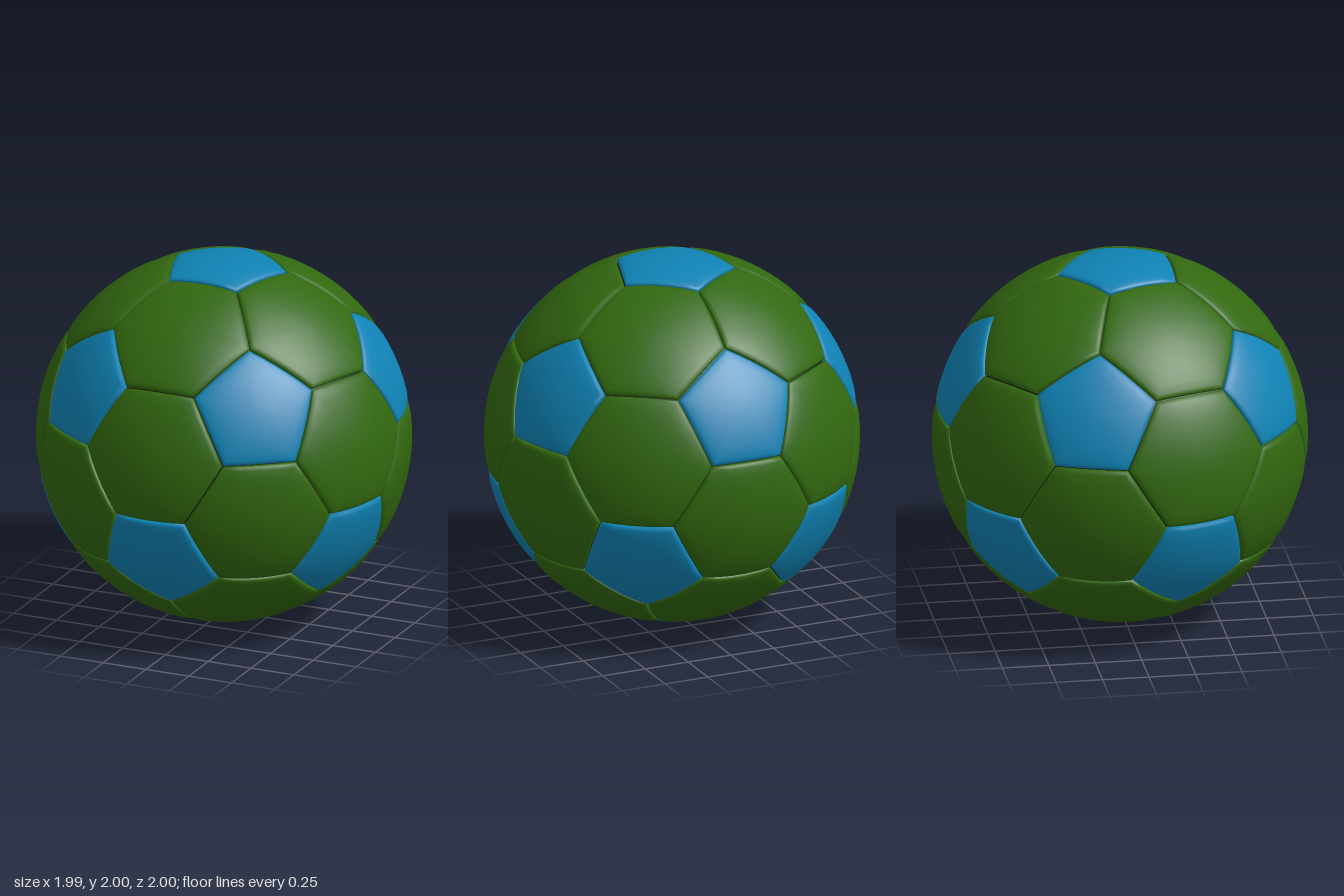
import * as THREE from 'three';

const green = new THREE.MeshStandardMaterial({ color: 0x32680f });
green.name = 'green panel';
const blue = new THREE.MeshStandardMaterial({ color: 0x0f82b4 });
blue.name = 'blue panel';
const dark = new THREE.MeshStandardMaterial({ color: 0x0e1c06 });
dark.name = 'dark seam';

// Panel cross-section: [fraction from centre to seam, distance from ball centre]
const SECTION = [[0.2, 1], [0.4, 1], [0.6, 1], [0.78, 0.999], [0.91, 0.996], [0.965, 0.991], [0.988, 0.983], [0.99, 0.955]];
const EDGE_STEPS = 5;

// The twelve icosahedron directions: two poles and two staggered rings
function icosahedronPoints() {
  const points = [new THREE.Vector3(0, 1, 0)];
  for (let i = 0; i < 5; i++) {
    const a = (i * 2 * Math.PI) / 5;
    const r = 2 / Math.sqrt(5);
    points.push(new THREE.Vector3(r * Math.sin(a), 1 / Math.sqrt(5), -r * Math.cos(a)));
  }
  return points.concat(points.map((p) => p.clone().negate()));
}

// Puffed panel with a rounded rim and a short wall down into the seam
function panelGeometry(corners) {
  const centre = new THREE.Vector3();
  corners.forEach((c) => centre.addScaledVector(c, 1 / corners.length));
  const axis = centre.clone().normalize();
  const u = corners[0].clone().sub(centre).normalize();
  const v = axis.clone().cross(u);
  const angle = (c) => Math.atan2(c.clone().sub(centre).dot(v), c.clone().sub(centre).dot(u));
  const sorted = [...corners].sort((a, b) => angle(a) - angle(b));

  const rim = [];
  sorted.forEach((c, i) => {
    const next = sorted[(i + 1) % sorted.length];
    for (let k = 0; k < EDGE_STEPS; k++) rim.push(c.clone().lerp(next, k / EDGE_STEPS));
  });

  const n = rim.length;
  const positions = [...axis.toArray()];
  const index = [];
  SECTION.forEach(([t, radius], ring) => {
    rim.forEach((p, i) => {
      positions.push(...centre.clone().lerp(p, t).setLength(radius).toArray());
      const j = (i + 1) % n;
      const outer = 1 + ring * n;
      const inner = outer - n;
      if (ring === 0) index.push(0, outer + i, outer + j);
      else index.push(inner + i, outer + i, outer + j, inner + i, outer + j, inner + j);
    });
  });

  const geometry = new THREE.BufferGeometry();
  geometry.setAttribute('position', new THREE.Float32BufferAttribute(positions, 3));
  geometry.setIndex(index);
  geometry.computeVertexNormals();
  return geometry;
}

export function createModel() {
  const ball = new THREE.Group();
  ball.name = 'ball';
  const add = (geometry, material, name) => {
    const mesh = new THREE.Mesh(geometry, material);
    mesh.name = name;
    mesh.position.y = 1;
    ball.add(mesh);
  };

  const points = icosahedronPoints();
  const near = (a, b) => a !== b && a.dot(b) > 0.4;
  const third = (a, b) => a.clone().lerp(b, 1 / 3);

  // Pentagons around each icosahedron corner
  points.forEach((p) => {
    const corners = points.filter((q) => near(p, q)).map((q) => third(p, q));
    add(panelGeometry(corners), blue, 'pentagonPanel');
  });

  // Hexagons on each icosahedron face
  points.forEach((a, i) => points.forEach((b, j) => points.forEach((c, k) => {
    if (i < j && j < k && near(a, b) && near(b, c) && near(a, c)) {
      const corners = [third(a, b), third(b, a), third(b, c), third(c, b), third(c, a), third(a, c)];
      add(panelGeometry(corners), green, 'hexagonPanel');
    }
  })));

  // Inner ball seen only through the seams
  add(new THREE.SphereGeometry(0.968, 48, 32), dark, 'seamCore');
  return ball;
}
